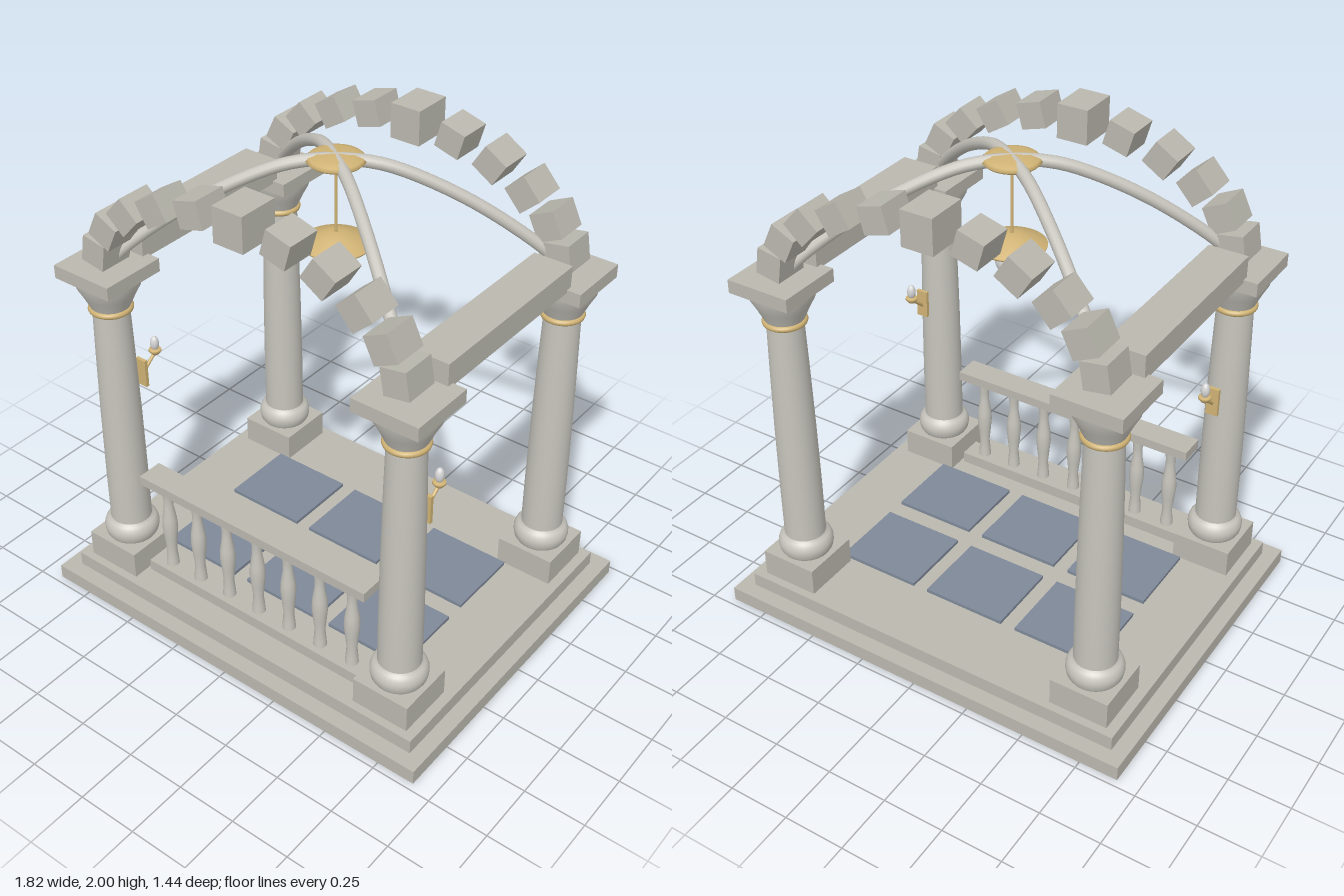
import * as THREE from 'three';

const V = (x, y, z) => new THREE.Vector3(x, y, z);
const paint = (name, color) => {
  const m = new THREE.MeshStandardMaterial({ color });
  m.name = name;
  return m;
};

export function createModel() {
  const root = new THREE.Group();
  root.name = 'pavilion';

  const stone = paint('stone', 0xbab8ae);
  const paleStone = paint('pale stone', 0xc6c4bc);
  const brass = paint('brass', 0xcfb274);
  const slate = paint('slate', 0x7f8999);
  const glass = paint('lamp glass', 0xd6d6d6);

  const add = (parent, name, geo, mat, x = 0, y = 0, z = 0) => {
    const mesh = new THREE.Mesh(geo, mat);
    mesh.name = name;
    mesh.position.set(x, y, z);
    parent.add(mesh);
    return mesh;
  };
  // Box given by its bottom and top heights
  const slab = (parent, name, mat, w, y0, y1, d, x = 0, z = 0) =>
    add(parent, name, new THREE.BoxGeometry(w, y1 - y0, d), mat, x, (y0 + y1) / 2, z);
  // Turned part from [radius, height] pairs, bottom to top
  const lathe = (pts, sides = 32) =>
    new THREE.LatheGeometry(pts.map(([r, y]) => new THREE.Vector2(r, y)), sides);
  const group = (name, x = 0, y = 0, z = 0) => {
    const g = new THREE.Group();
    g.name = name;
    g.position.set(x, y, z);
    root.add(g);
    return g;
  };

  // Stepped floor
  slab(root, 'lowerStep', stone, 1.82, 0, 0.062, 1.44);
  slab(root, 'upperStep', stone, 1.695, 0.062, 0.123, 1.312);
  for (const x of [-0.4225, 0, 0.4225])
    for (const z of [-0.204, 0.204])
      slab(root, 'floorTile', slate, 0.356, 0.123, 0.138, 0.324, x, z);

  // Columns
  const CX = 0.683, CZ = 0.5;
  const baseGeo = lathe([[0.1, 0.239], [0.108, 0.252], [0.112, 0.272], [0.112, 0.288],
    [0.106, 0.306], [0.097, 0.316], [0.09, 0.32], [0.084, 0.328]]);
  const shaftGeo = lathe([[0.084, 0.325], [0.084, 0.55], [0.081, 0.85], [0.076, 1.12], [0.071, 1.33]]);
  const capitalGeo = lathe([[0.071, 1.33], [0.08, 1.35], [0.1, 1.395], [0.122, 1.437], [0.128, 1.472]]);
  const ringGeo = new THREE.TorusGeometry(0.074, 0.013, 10, 32).rotateX(Math.PI / 2);
  for (const sx of [-1, 1])
    for (const sz of [-1, 1]) {
      const column = group('column', sx * CX, 0, sz * CZ);
      slab(column, 'plinth', stone, 0.246, 0.123, 0.239, 0.246);
      add(column, 'columnBase', baseGeo, paleStone);
      add(column, 'columnShaft', shaftGeo, paleStone);
      add(column, 'columnRing', ringGeo, brass, 0, 1.332, 0);
      add(column, 'capital', capitalGeo, paleStone);
      slab(column, 'abacus', stone, 0.272, 1.47, 1.525, 0.272);
    }

  // Side beams
  for (const sx of [-1, 1])
    slab(root, 'sideBeam', stone, 0.16, 1.513, 1.612, 0.78, sx * CX, 0);

  // Front and back arches of spaced blocks along an ellipse
  const blockGeo = new THREE.BoxGeometry(0.108, 0.105, 0.14);
  for (const sz of [-1, 1]) {
    const arch = group('arch', 0, 0, sz * CZ);
    for (let i = 0; i < 11; i++) {
      if (i === 5) {
        slab(arch, 'keystone', stone, 0.13, 1.86, 2, 0.168);
        continue;
      }
      const a = THREE.MathUtils.degToRad(9.8 + 16.04 * i);
      const block = add(arch, 'archBlock', blockGeo, stone,
        0.685 * Math.cos(a), 1.526 + 0.404 * Math.sin(a), 0);
      block.rotation.z = a - Math.PI / 2;
    }
  }

  // Diagonal roof ribs meeting at a boss
  const ribPath = [[1, 1.52], [0.87, 1.622], [0.56, 1.802], [0.25, 1.925], [0.1, 1.953], [0, 1.958]];
  for (const sx of [-1, 1])
    for (const sz of [-1, 1]) {
      const curve = new THREE.CatmullRomCurve3(ribPath.map(([u, y]) => V(sx * CX * u, y, sz * CZ * u)));
      add(root, 'roofRib', new THREE.TubeGeometry(curve, 24, 0.024, 12), paleStone);
    }
  add(root, 'roofBoss', lathe([[0, 1.932], [0.06, 1.936], [0.1, 1.946], [0.11, 1.956],
    [0.1, 1.966], [0.07, 1.976], [0, 1.981]]), brass);

  // Hanging lamp
  const lamp = group('hangingLamp');
  add(lamp, 'lampRod', new THREE.CylinderGeometry(0.006, 0.006, 0.29, 10), brass, 0, 1.795, 0);
  add(lamp, 'lampShade', lathe([[0, 1.585], [0.07, 1.589], [0.13, 1.614], [0.132, 1.622],
    [0.06, 1.655], [0.03, 1.664], [0, 1.666]]), brass);
  add(lamp, 'lampGlobe', new THREE.SphereGeometry(0.063, 28, 18), glass, 0, 1.555, 0);

  // Front balustrade
  const rail = group('balustrade', 0, 0, CZ);
  slab(rail, 'handRail', stone, 1.11, 0.57, 0.61, 0.11);
  slab(rail, 'bottomRail', stone, 1.09, 0.123, 0.172, 0.1);
  const balusterGeo = lathe([[0.027, 0.172], [0.025, 0.2], [0.021, 0.25], [0.027, 0.31], [0.032, 0.365],
    [0.029, 0.41], [0.02, 0.47], [0.02, 0.51], [0.025, 0.55], [0.027, 0.572]], 20);
  for (let i = -3; i <= 3; i++) add(rail, 'baluster', balusterGeo, paleStone, i * 0.154, 0, 0);

  // Wall lamps behind the two front columns
  const armCurve = new THREE.LineCurve3(V(0, 0.95, 0.368), V(0, 1.012, 0.292));
  for (const sx of [-1, 1]) {
    const sconce = group('wallLamp', sx * CX, 0, 0);
    slab(sconce, 'wallLampPlate', brass, 0.05, 0.9, 1.02, 0.015, 0, 0.369);
    add(sconce, 'wallLampArm', new THREE.TubeGeometry(armCurve, 1, 0.007, 10), brass);
    add(sconce, 'wallLampCup', lathe([[0, 1.003], [0.014, 1.005], [0.026, 1.02], [0.024, 1.028], [0, 1.03]], 20),
      brass, 0, 0, 0.29);
    add(sconce, 'wallLampBulb', new THREE.SphereGeometry(0.018, 18, 14).scale(1, 1.75, 1),
      glass, 0, 1.055, 0.29);
  }

  return root;
}
